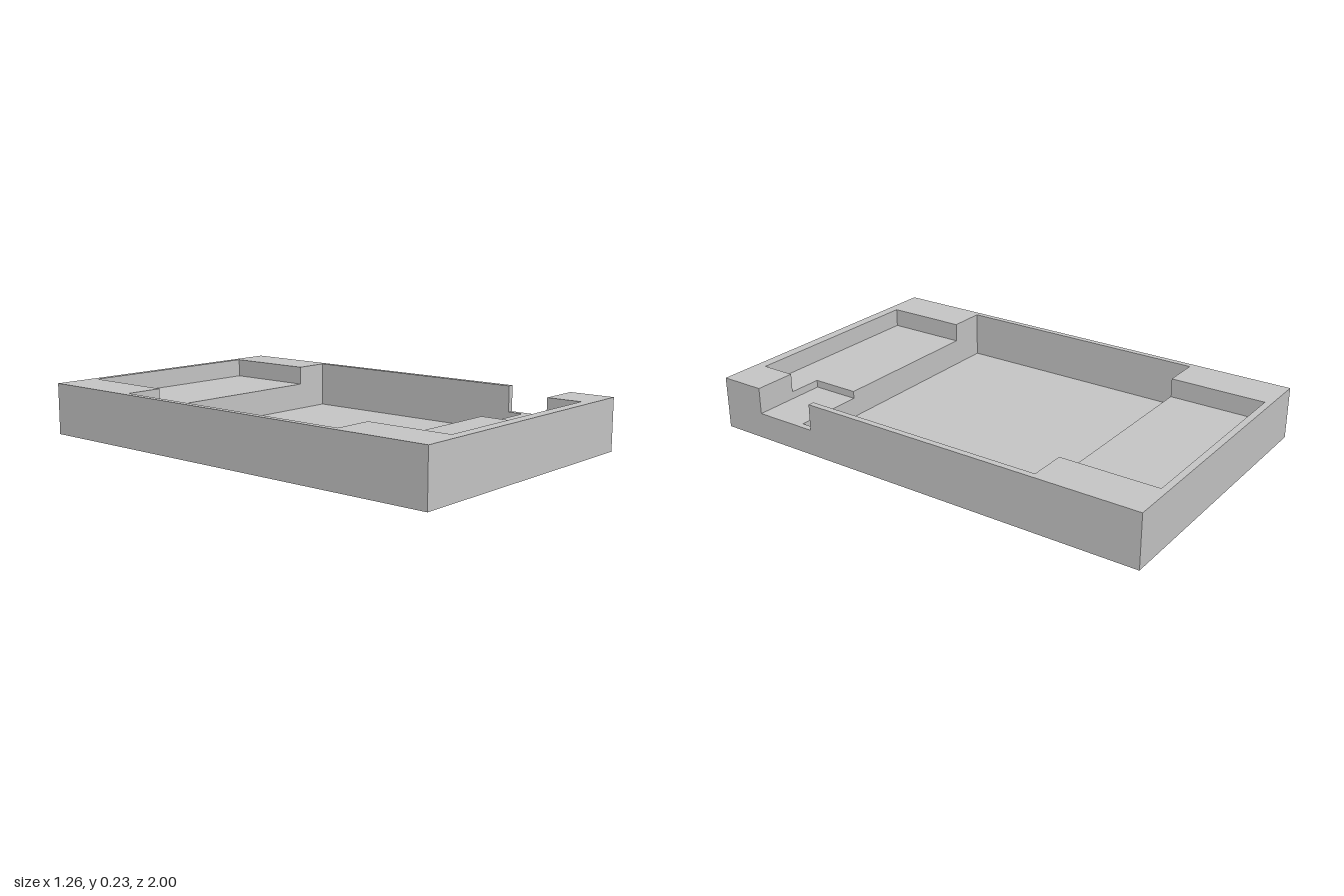
import * as THREE from 'three';

const TOP = 0.226;

// Plan lines that bound every pocket
const XS = [-0.632, -0.605, -0.439, 0.293, 0.445, 0.605, 0.632];
const ZS = [-1, -0.971, -0.552, 0.521, 0.589, 0.802, 0.955, 1];

// Rectangular cuts into the block: x range, z range, floor height
const POCKETS = [
  { x: [-0.605, 0.605], z: [-0.552, 0.589], floor: 0.026 },  // main bay
  { x: [-0.439, 0.445], z: [-0.971, -0.552], floor: 0.144 }, // back bay
  { x: [-0.439, 0.445], z: [0.589, 0.955], floor: 0.144 },   // front bay
  { x: [0.293, 0.632], z: [0.589, 0.802], floor: 0.112 },    // side port
  { x: [0.605, 0.632], z: [0.521, 0.589], floor: 0.112 },    // slot in the side wall
];

// Surface height of one plan cell; 0 outside the block
function heightAt(i, j) {
  if (i < 0 || j < 0 || i >= XS.length - 1 || j >= ZS.length - 1) return 0;
  const x = (XS[i] + XS[i + 1]) / 2, z = (ZS[j] + ZS[j + 1]) / 2;
  let h = TOP;
  for (const p of POCKETS) {
    if (x > p.x[0] && x < p.x[1] && z > p.z[0] && z < p.z[1]) h = Math.min(h, p.floor);
  }
  return h;
}

// Collects quads (corners counter-clockwise from outside) into one mesh
function quadMesh(name, quads, material) {
  const points = quads.flatMap(([a, b, c, d]) => [a, b, c, a, c, d]).flat();
  const geometry = new THREE.BufferGeometry();
  geometry.setAttribute('position', new THREE.Float32BufferAttribute(points, 3));
  geometry.computeVertexNormals();
  const mesh = new THREE.Mesh(geometry, material);
  mesh.name = name;
  return mesh;
}

export function createModel() {
  const grey = new THREE.MeshStandardMaterial({ color: 0xc7c7c7 });
  grey.name = 'lightGrey';
  const rim = [], floors = [], walls = [];

  // Wall between two cells, turned towards the lower one
  const addWall = (x0, z0, x1, z1, hA, hB) => {
    if (hA === hB) return;
    const lo = Math.min(hA, hB), hi = Math.max(hA, hB);
    const quad = [[x0, lo, z0], [x1, lo, z1], [x1, hi, z1], [x0, hi, z0]];
    walls.push(hA > hB ? quad : quad.reverse());
  };

  for (let i = 0; i < XS.length; i++) {
    for (let j = 0; j < ZS.length; j++) {
      const [x0, x1, z0, z1] = [XS[i], XS[i + 1], ZS[j], ZS[j + 1]];
      const h = heightAt(i, j);
      // Rim or pocket floor
      if (h > 0) {
        (h === TOP ? rim : floors).push([[x0, h, z0], [x0, h, z1], [x1, h, z1], [x1, h, z0]]);
      }
      // Walls on the low-x and low-z sides of the cell
      if (z1 !== undefined) addWall(x0, z1, x0, z0, heightAt(i - 1, j), h);
      if (x1 !== undefined) addWall(x0, z0, x1, z0, heightAt(i, j - 1), h);
    }
  }

  // Flat underside
  const X = XS[XS.length - 1];
  const base = [[[-X, 0, -1], [X, 0, -1], [X, 0, 1], [-X, 0, 1]]];

  const group = new THREE.Group();
  group.name = 'tray';
  group.add(
    quadMesh('rim', rim, grey),
    quadMesh('pocketFloors', floors, grey),
    quadMesh('walls', walls, grey),
    quadMesh('underside', base, grey),
  );
  return group;
}
